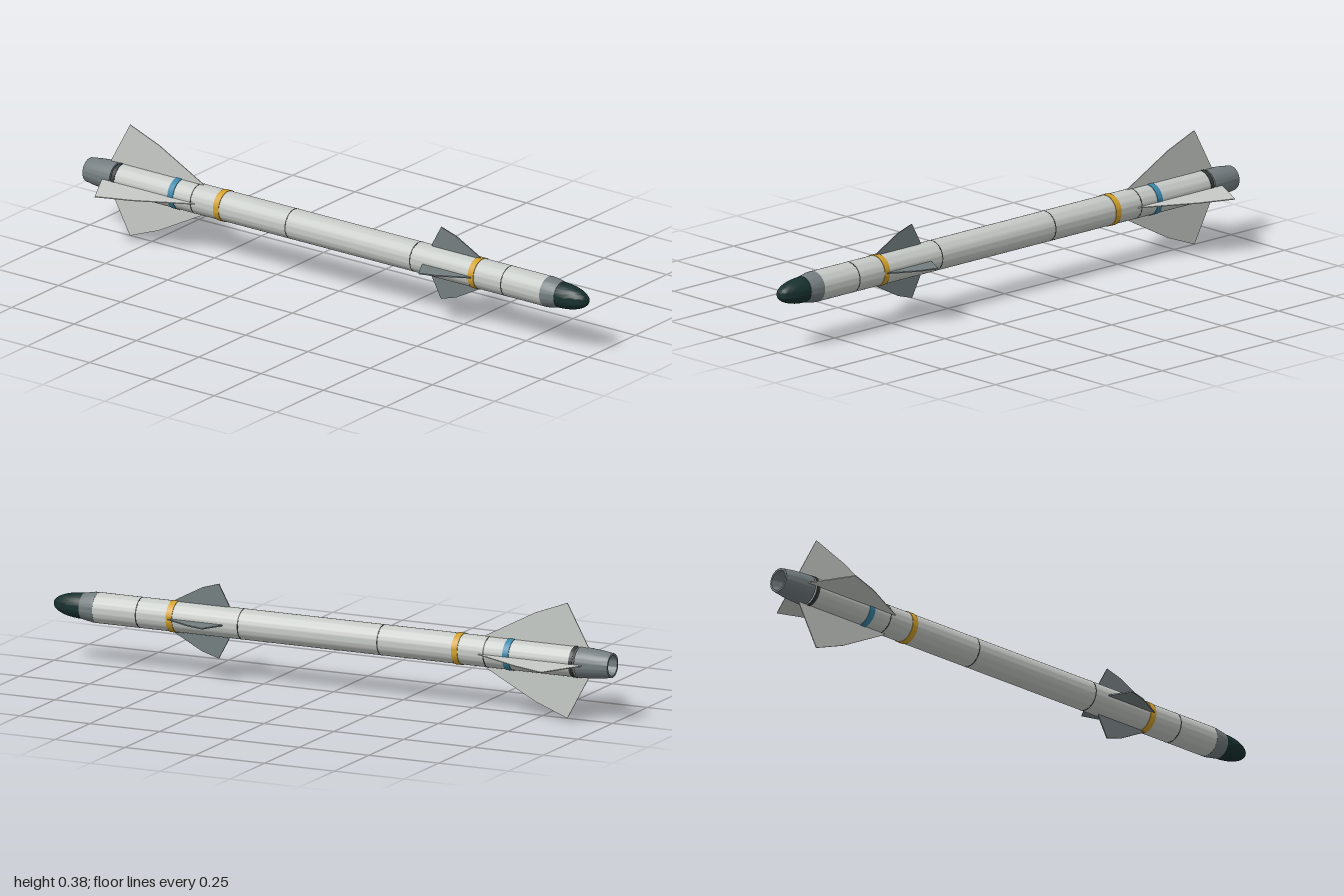
import * as THREE from 'three';
import { toCreasedNormals } from 'three/addons/utils/BufferGeometryUtils.js';

const mat = (name, color, side = THREE.FrontSide) => {
  const m = new THREE.MeshStandardMaterial({ color, side });
  m.name = name;
  return m;
};

export function createModel() {
  const model = new THREE.Group();
  model.name = 'missile';
  const axis = new THREE.Group(); // everything is built around the long axis
  axis.name = 'airframe';
  axis.position.y = 0.19;
  model.add(axis);

  const paleGrey = mat('paleGrey', 0xc6cac6);
  const midGrey = mat('midGrey', 0x737c7f);
  const finGrey = mat('finGrey', 0x747e7f);
  const darkGrey = mat('darkGrey', 0x34393b);
  const glass = mat('darkGreenGlass', 0x17302f);
  const yellow = mat('yellow', 0xd2a12c);
  const blue = mat('blue', 0x3b87aa);

  const add = (name, geometry, material, parent = axis) => {
    const mesh = new THREE.Mesh(geometry, material);
    mesh.name = name;
    parent.add(mesh);
    return mesh;
  };

  // Turned part: profile of [radius, z], listed from rear to front
  const turned = (name, profile, material) => {
    const g = new THREE.LatheGeometry(profile.map(([r, z]) => new THREE.Vector2(r, z)), 48);
    g.rotateX(Math.PI / 2);
    return add(name, toCreasedNormals(g, 0.6), material);
  };

  // Narrow raised ring around the body
  const ring = (name, z, width, r, material) => turned(name, [
    [0.049, z - width / 2], [r, z - width / 2], [r, z + width / 2], [0.049, z + width / 2],
  ], material);

  // Body, seeker collar and nose dome
  turned('bodyTube', [[0, -0.88], [0.05, -0.88], [0.05, 0.845], [0, 0.845]], paleGrey);
  turned('noseCollar', [[0, 0.84], [0.0505, 0.84], [0.0495, 0.855], [0.043, 0.892], [0, 0.892]], midGrey);
  const dome = [[0.042, 0.888]];
  for (let i = 0; i <= 12; i++) {
    const a = (i / 12) * Math.PI / 2;
    dome.push([0.042 * Math.cos(a), 0.895 + 0.105 * Math.sin(a)]);
  }
  turned('noseDome', dome, glass);

  // Tapered exhaust section with a recessed nozzle
  turned('exhaust', [
    [0, -0.95], [0.024, -0.95], [0.033, -1], [0.04, -1], [0.045, -0.965],
    [0.049, -0.92], [0.0505, -0.885], [0, -0.885],
  ], midGrey);
  ring('rearRing', -0.872, 0.013, 0.0515, darkGrey);

  // Painted bands and section seams
  ring('frontYellowBand', 0.565, 0.022, 0.052, yellow);
  ring('rearYellowBand', -0.457, 0.022, 0.052, yellow);
  ring('blueBand', -0.64, 0.022, 0.052, blue);
  for (const z of [0.685, 0.32, -0.18, -0.56]) ring('seam', z, 0.004, 0.0503, darkGrey);

  // Four identical fins from an outline of [radius, z]
  const finSet = (name, outline, thickness, material) => {
    const shape = new THREE.Shape(outline.map(([r, z]) => new THREE.Vector2(r, z)));
    const g = new THREE.ExtrudeGeometry(shape, { depth: thickness, bevelEnabled: false });
    g.translate(0, 0, -thickness / 2);
    g.rotateX(Math.PI / 2);
    for (let i = 0; i < 4; i++) add(name, g, material).rotation.z = i * Math.PI / 2;
  };
  finSet('controlFin', [[0.045, 0.575], [0.055, 0.565], [0.105, 0.47], [0.123, 0.41], [0.055, 0.373], [0.045, 0.373]], 0.004, finGrey);
  finSet('tailFin', [[0.045, -0.54], [0.053, -0.545], [0.146, -0.722], [0.19, -0.838], [0.055, -0.912], [0.045, -0.912]], 0.003, paleGrey);

  return model;
}
